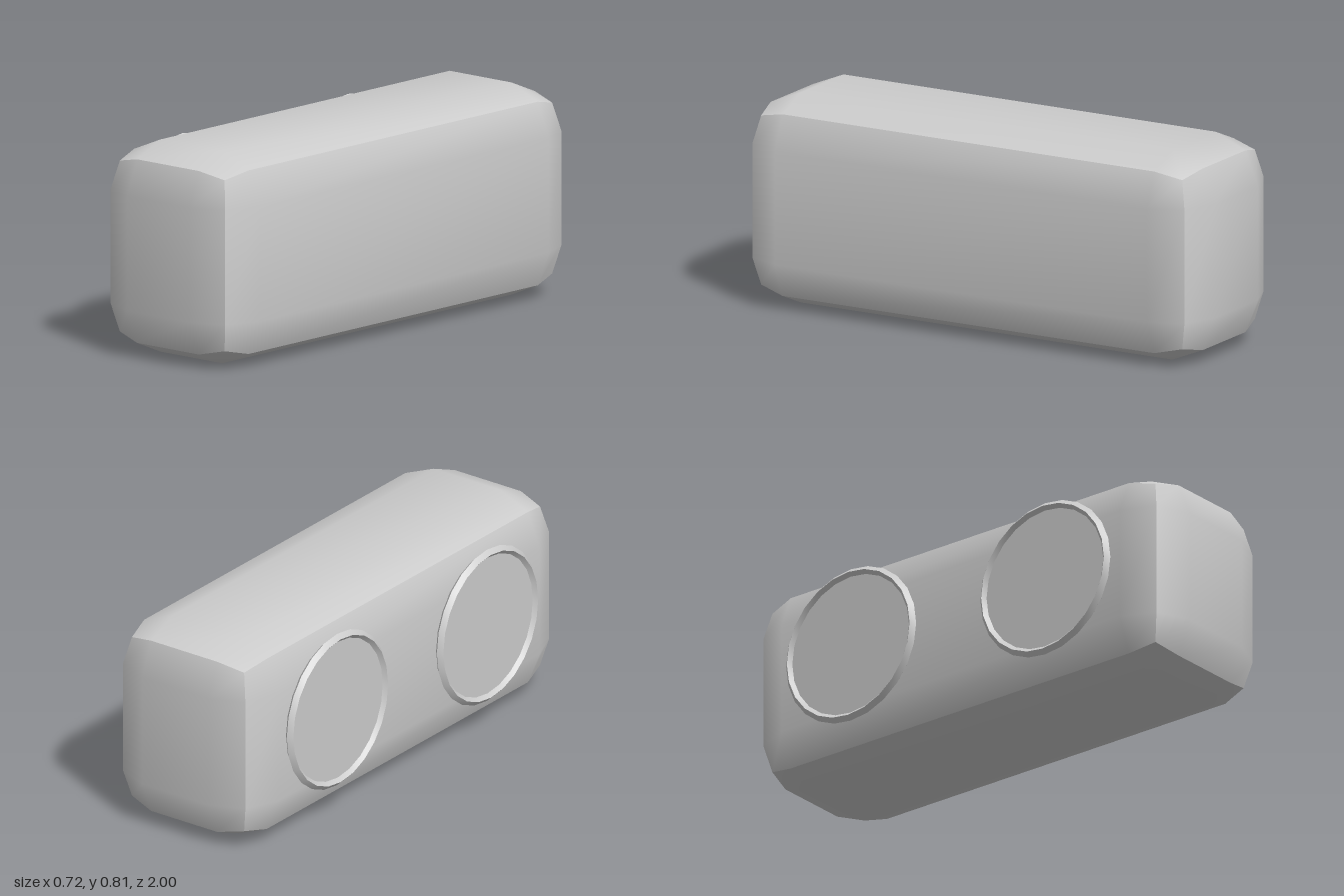
import * as THREE from 'three';
import { toCreasedNormals } from 'three/addons/utils/BufferGeometryUtils.js';

// Box with rounded edges; each of the six sides is shaded smoothly on its own
function bevelledBox(w, h, d, r) {
  const geo = new THREE.BoxGeometry(1, 1, 1, 3, 3, 3);
  const inner = new THREE.Vector3(w / 2 - r, h / 2 - r, d / 2 - r);
  const pos = geo.attributes.position;
  const p = new THREE.Vector3(), dir = new THREE.Vector3();
  const step = (v) => (Math.abs(v) > 0.4 ? Math.sign(v) : 0);
  for (let i = 0; i < pos.count; i++) {
    p.fromBufferAttribute(pos, i);
    dir.set(step(p.x), step(p.y), step(p.z)).normalize().multiplyScalar(r);
    pos.setXYZ(i,
      Math.sign(p.x) * inner.x + dir.x,
      Math.sign(p.y) * inner.y + dir.y,
      Math.sign(p.z) * inner.z + dir.z);
  }
  geo.computeVertexNormals();
  return geo;
}

export function createModel() {
  const group = new THREE.Group();
  const grey = new THREE.MeshStandardMaterial({ color: 0xcccccc });
  grey.name = 'grey';

  // Long rounded case
  const body = new THREE.Mesh(bevelledBox(0.684, 0.813, 2, 0.187), grey);
  body.name = 'body';
  body.position.set(0.015, 0.4065, 0);
  group.add(body);

  // Two round covers on the right side, each a diamond-section rim around a disc
  const rimGeo = toCreasedNormals(new THREE.TorusGeometry(0.295, 0.0175, 4, 24), 0.6);
  const discGeo = new THREE.CylinderGeometry(0.284, 0.284, 0.006, 24);
  discGeo.rotateX(Math.PI / 2);
  for (const side of [1, -1]) {
    const cover = new THREE.Group();
    cover.name = side > 0 ? 'frontCover' : 'backCover';
    const rim = new THREE.Mesh(rimGeo, grey);
    rim.name = 'rim';
    const disc = new THREE.Mesh(discGeo, grey);
    disc.name = 'disc';
    cover.add(rim, disc);
    cover.rotation.y = -Math.PI / 2;
    cover.position.set(-0.3415, 0.439, side * 0.467);
    group.add(cover);
  }
  return group;
}
